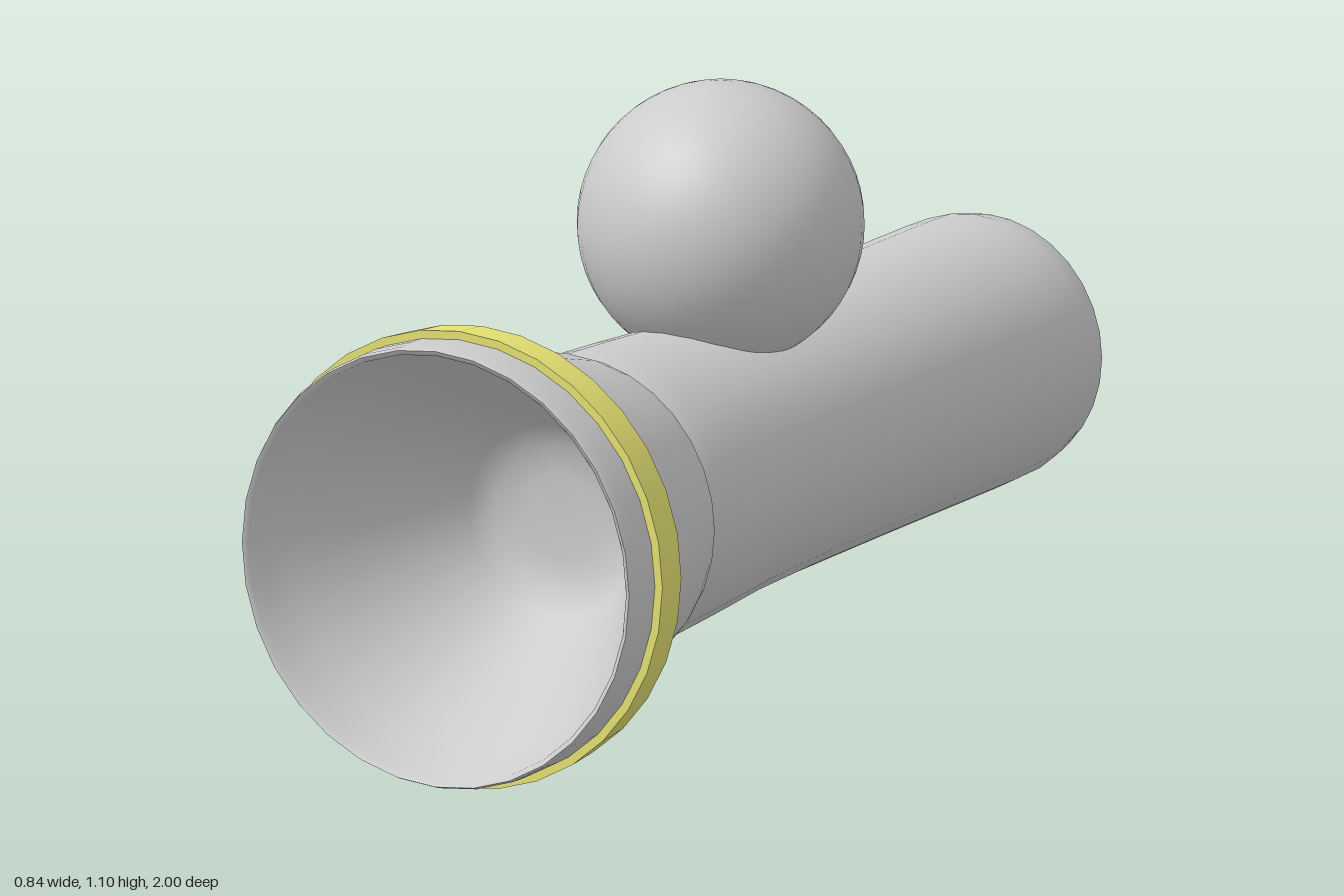
import * as THREE from 'three';

const AXIS_Y = 0.422; // height of the barrel's centre line

// Solid of revolution around z from [radius, z] pairs, listed back to front on the outside
function turned(name, profile, color = 0xcccccc) {
  const points = profile.map(([r, z]) => new THREE.Vector2(r, z));
  const geometry = new THREE.LatheGeometry(points, 32);
  geometry.rotateX(Math.PI / 2);
  const material = new THREE.MeshStandardMaterial({ color, side: THREE.DoubleSide });
  const mesh = new THREE.Mesh(geometry, material);
  mesh.name = name;
  mesh.position.y = AXIS_Y;
  return mesh;
}

export function createModel() {
  const group = new THREE.Group();
  group.name = 'flashlight';

  // Handle with a softly rounded end, flaring slightly toward the head
  group.add(turned('handle', [
    [0, -1], [0.11, -0.997], [0.18, -0.99], [0.215, -0.978], [0.235, -0.95],
    [0.245, -0.9], [0.247, -0.82], [0.248, -0.4], [0.25, -0.1], [0.255, 0.1],
    [0.266, 0.27], [0.273, 0.4], [0.274, 0.45], [0.27, 0.485], [0.262, 0.52],
  ]));

  // Flared head
  group.add(turned('head', [
    [0.255, 0.475], [0.272, 0.484], [0.285, 0.502], [0.297, 0.535],
    [0.316, 0.61], [0.345, 0.72], [0.378, 0.85],
  ]));

  // Coloured band around the head
  const bandColor = 0xe6e373;
  group.add(turned('bandOuter', [[0.412, 0.836], [0.419, 0.915]], bandColor));
  group.add(turned('bandBack', [[0.365, 0.836], [0.412, 0.836]], bandColor));
  group.add(turned('bandFront', [[0.419, 0.915], [0.395, 0.915]], bandColor));

  // Front lip and the open reflector bowl
  group.add(turned('lip', [[0.403, 0.9], [0.405, 0.95], [0.404, 0.99], [0.4, 1]]));
  group.add(turned('reflector', [
    [0.4, 1], [0.391, 0.995], [0.384, 0.965], [0.355, 0.9], [0.265, 0.74],
    [0.175, 0.585], [0.135, 0.56], [0.08, 0.55], [0, 0.55],
  ]));

  // Ball resting in the top of the handle
  const ball = new THREE.Mesh(
    new THREE.SphereGeometry(0.257, 40, 28),
    new THREE.MeshStandardMaterial({ color: 0xcccccc }),
  );
  ball.name = 'ballSwitch';
  ball.position.set(0, 0.843, -0.012 + 0.006);
  group.add(ball);

  return group;
}
